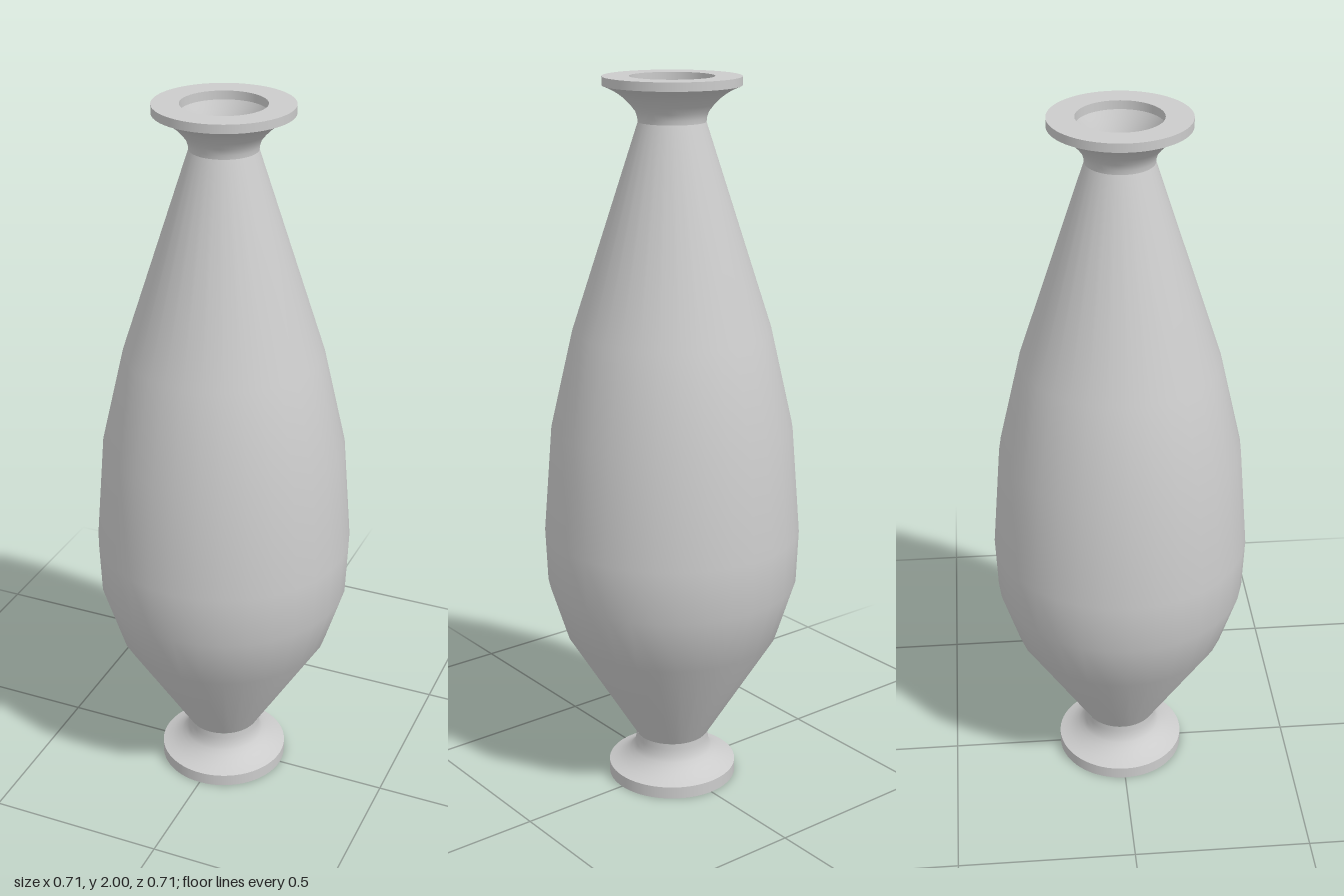
import * as THREE from 'three';

const material = new THREE.MeshStandardMaterial({ color: 0xcccccc });
const v = ([r, y]) => new THREE.Vector2(r, y);

// Smoothly sampled curve through a few profile points
const curve = (pts, n = 8) =>
  new THREE.SplineCurve(pts.map(v)).getPoints(n).map((p) => [p.x, p.y]);

// One mesh per smooth band, so the joints between bands stay crisp
function turned(name, bands, sides) {
  const group = new THREE.Group();
  group.name = name;
  for (const [bandName, profile] of Object.entries(bands)) {
    const mesh = new THREE.Mesh(new THREE.LatheGeometry(profile.map(v), sides), material);
    mesh.name = bandName;
    group.add(mesh);
  }
  return group;
}

export function createModel() {
  const model = new THREE.Group();
  model.name = 'vase';

  // Round foot with a concave stem
  model.add(turned('foot', {
    footBase: [[0, 0], [0.183, 0]],
    footEdge: [[0.183, 0], [0.183, 0.035]],
    footFlare: curve([[0.183, 0.035], [0.155, 0.046], [0.127, 0.065], [0.107, 0.092], [0.104, 0.13]]),
  }, 64));

  // Tall swelling body with straight facets along its height
  model.add(turned('body', {
    bodyWall: [
      [0.104, 0.13], [0.3, 0.45], [0.35, 0.61], [0.356, 0.76],
      [0.332, 1.06], [0.27, 1.33], [0.09, 1.883],
    ],
  }, 32));

  // Flared lip, its hollow mouth and the mouth floor
  model.add(turned('lip', {
    lipFlare: curve([[0.09, 1.883], [0.096, 1.91], [0.127, 1.945], [0.158, 1.966], [0.183, 1.977]]),
    lipEdge: [[0.183, 1.977], [0.183, 2]],
    lipTop: [[0.183, 2], [0.112, 2]],
    mouthEdge: [[0.112, 2], [0.112, 1.977]],
    mouthWall: curve([[0.112, 1.977], [0.096, 1.945], [0.082, 1.91], [0.078, 1.885]]),
    mouthFloor: [[0.078, 1.885], [0, 1.885]],
  }, 64));

  return model;
}
